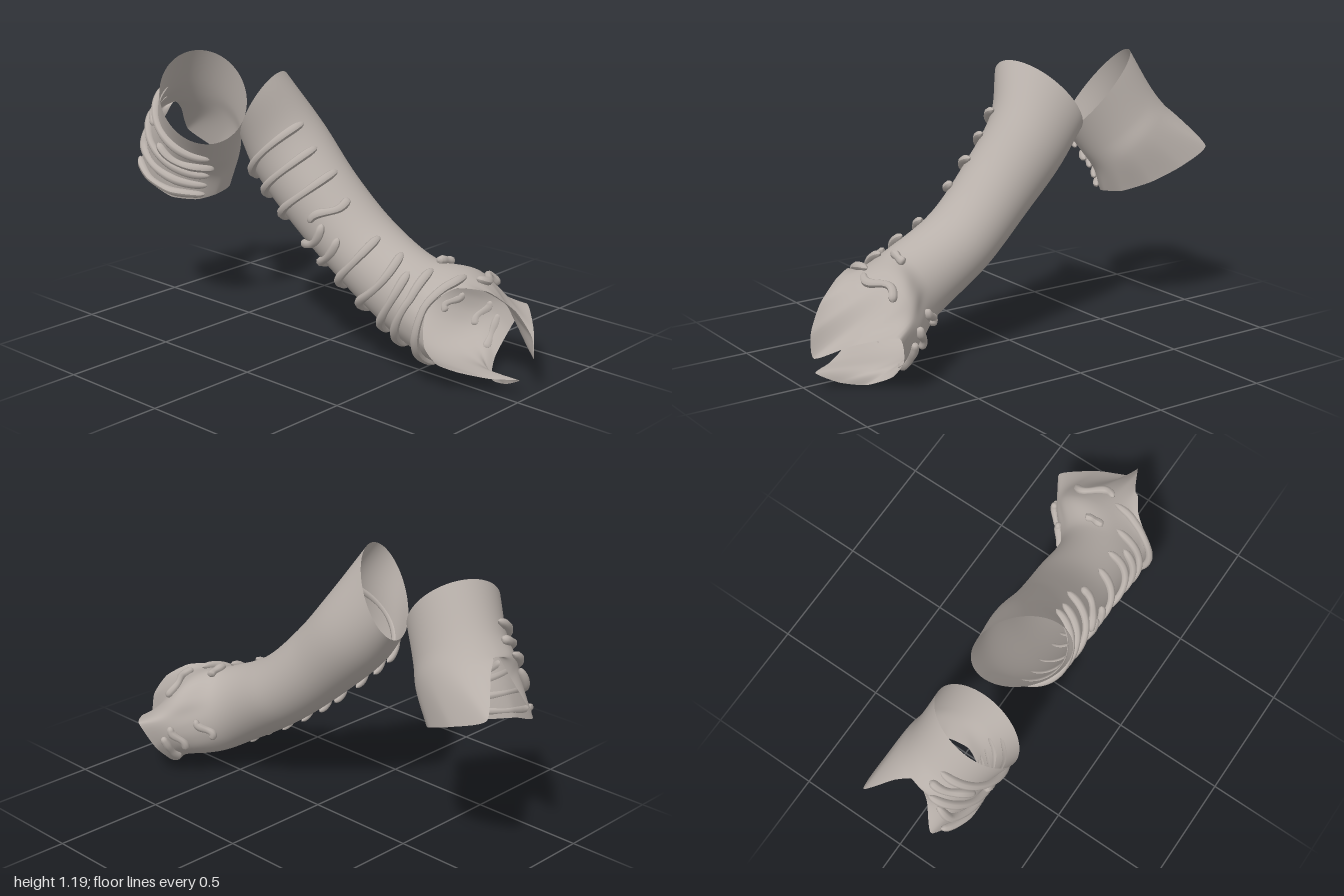
import * as THREE from 'three';

const TURN = Math.PI * 2;

// Closed elliptical ring: centre, half length and lean in the xy plane, half depth, tilt of the depth axis, z slope
function ring([x, y, z], half, lean, depth, tilt = 0, slope = 0) {
  const a = THREE.MathUtils.degToRad(lean);
  const u = new THREE.Vector3(Math.cos(a) * half, Math.sin(a) * half, slope);
  const w = new THREE.Vector3(Math.sin(a) * tilt, -Math.cos(a) * tilt, depth);
  const c = new THREE.Vector3(x, y, z);
  const pts = [];
  for (let i = 0; i < 24; i++) {
    const t = (i / 24) * TURN;
    pts.push(c.clone().addScaledVector(u, Math.cos(t)).addScaledVector(w, Math.sin(t)));
  }
  return new THREE.CatmullRomCurve3(pts, true);
}

// Closed rim through points evenly spread around the sleeve, keeping its corners tight
const rim = (pts) =>
  new THREE.CatmullRomCurve3(pts.map((p) => new THREE.Vector3(...p)), true, 'catmullrom', 0.3);

// Lengthwise curve through all rings at one fraction of the way around
const columnAt = (rings, k) => new THREE.CatmullRomCurve3(rings.map((r) => r.getPoint(k)));

// Point on a sleeve: t counts rings along it, deg runs around it
function surfacePoint(rings, t, deg) {
  const k = THREE.MathUtils.euclideanModulo(deg / 360, 1);
  return columnAt(rings, k).getPoint(Math.min(1, t / (rings.length - 1)));
}

// Open shell lofted through the rings
function shell(rings, around = 108, along = 60) {
  const pos = [], idx = [];
  for (let i = 0; i < around; i++) {
    const column = columnAt(rings, i / around);
    for (let j = 0; j <= along; j++) pos.push(...column.getPoint(j / along).toArray());
  }
  for (let i = 0; i < around; i++) {
    for (let j = 0; j < along; j++) {
      const a = i * (along + 1) + j, b = ((i + 1) % around) * (along + 1) + j;
      idx.push(a, b, a + 1, b, b + 1, a + 1);
    }
  }
  const g = new THREE.BufferGeometry();
  g.setAttribute('position', new THREE.Float32BufferAttribute(pos, 3));
  g.setIndex(idx);
  g.computeVertexNormals();
  return g;
}

// Raised wavy fold around a sleeve at ring t, between two angles, tapering at its ends
function fold(rings, t, from, to, wave) {
  const pts = [];
  for (let i = 0; i <= 16; i++) {
    const s = i / 16, deg = from + (to - from) * s;
    const at = t + wave * Math.sin(s * TURN * 0.9);
    const p = surfacePoint(rings, at, deg);
    const out = p.clone().sub(surfacePoint(rings, at, deg + 180)).normalize();
    pts.push(p.addScaledVector(out, 0.011));
  }
  const curve = new THREE.CatmullRomCurve3(pts);
  const steps = 40, sides = 8;
  const g = new THREE.TubeGeometry(curve, steps, 0.018, sides, false);
  const pos = g.attributes.position, v = new THREE.Vector3();
  for (let i = 0; i <= steps; i++) {
    const s = i / steps, c = curve.getPointAt(s);
    const end = Math.min(1, Math.min(s, 1 - s) * 9);
    const f = Math.sqrt(end * (2 - end)) * (0.95 + 0.1 * Math.sin(s * 11));
    for (let j = 0; j <= sides; j++) {
      const n = i * (sides + 1) + j;
      v.fromBufferAttribute(pos, n).sub(c).multiplyScalar(f).add(c);
      pos.setXYZ(n, v.x, v.y, v.z);
    }
  }
  g.computeVertexNormals();
  return g;
}

function sleeve(name, rings, folds, material) {
  const group = new THREE.Group();
  group.name = name;
  const body = new THREE.Mesh(shell(rings), material);
  body.name = name + 'Shell';
  group.add(body);
  folds.forEach((f, i) => {
    const m = new THREE.Mesh(fold(rings, ...f), material);
    m.name = name + 'Fold' + (i + 1);
    group.add(m);
  });
  return group;
}

export function createModel() {
  const cloth = new THREE.MeshStandardMaterial({ color: 0xb8b0aa, side: THREE.DoubleSide });
  cloth.name = 'warmGreyCloth';

  // Cuff of the long sleeve, with a pointed flap above and below
  const cuffRim = rim([
    [0.94, 0.35, -0.05], [0.84, 0.42, 0], [0.74, 0.43, 0.08], [0.68, 0.37, 0.17], [0.68, 0.28, 0.2],
    [0.69, 0.2, 0.2], [0.72, 0.13, 0.16], [0.77, 0.09, 0.09], [0.87, 0.07, 0.02], [0.97, 0.07, -0.05],
    [0.88, 0.02, -0.08], [0.78, 0, -0.12], [0.72, 0.05, -0.22], [0.72, 0.14, -0.31],
    [0.77, 0.26, -0.36], [0.9, 0.22, -0.23], [1, 0.15, -0.1], [1, 0.25, -0.08],
  ]);

  // Long sleeve, from the upper opening down to the cuff; angle 0 is its top, 90 its front
  const longRings = [
    ring([-0.25, 1.015, 0.135], 0.208, 52, 0.165, 0.05, 0.06),
    ring([-0.145, 0.845, 0.09], 0.184, 47, 0.175, 0, 0.01),
    ring([0.025, 0.66, 0.07], 0.166, 46, 0.17),
    ring([0.235, 0.475, 0.04], 0.157, 53, 0.17),
    ring([0.485, 0.33, 0.02], 0.173, 68, 0.175),
    ring([0.64, 0.265, -0.045], 0.19, 78, 0.24),
    cuffRim,
  ];
  // Each fold: ring position, start angle, end angle, waviness
  const frontFolds = [
    [1.0, 12, 165, 0.03], [1.45, 15, 165, 0.04], [1.92, 8, 168, 0.05],
    [2.4, 20, 85, 0.07], [2.5, 70, 165, 0.1], [2.82, 65, 165, 0.07],
    [3.2, 22, 165, 0.05], [3.65, 18, 165, 0.12], [4.02, 35, 160, 0.08],
    [4.4, 15, 165, 0.06], [5.15, 5, 160, 0.1],
  ];
  const backFolds = [
    [5.2, 312, 360, -0.1], [4.25, 330, 356, 0.03], [4.3, 235, 268, -0.1],
    [4.9, 230, 268, -0.08], [5.4, 225, 262, 0.04],
  ];

  // Lower rim of the short sleeve, with an arched notch between two corners on its outer side
  const notchedRim = rim([
    [-0.59, 0.56, 0.1], [-0.63, 0.545, 0.18], [-0.72, 0.555, 0.25], [-0.85, 0.6, 0.26],
    [-0.98, 0.66, 0.2], [-0.91, 0.82, 0.14], [-0.88, 0.93, 0.08], [-0.92, 0.88, 0],
    [-1, 0.75, -0.11], [-0.84, 0.68, -0.13], [-0.7, 0.62, -0.09], [-0.61, 0.575, 0],
  ]);

  // Short sleeve, from the upper opening down; angle 0 is its inner side, 90 its front
  const shortRings = [
    ring([-0.59, 1.01, 0.165], 0.22, -51, 0.185, 0.07, 0.03),
    ring([-0.67, 0.87, 0.12], 0.208, -39, 0.18, 0.05, 0.01),
    ring([-0.725, 0.79, 0.095], 0.215, -37, 0.185, 0.06),
    notchedRim,
  ];
  const shortFolds = [
    [0.78, 168, 20, 0.04], [1.25, 172, 115, 0.06], [1.4, 95, 15, 0.1],
    [1.85, 165, 20, 0.05], [2.35, 145, 20, 0.05], [2.75, 118, 20, 0.06],
  ];

  const model = new THREE.Group();
  model.name = 'sleeves';
  model.add(sleeve('longSleeve', longRings, [...frontFolds, ...backFolds], cloth));
  model.add(sleeve('shortSleeve', shortRings, shortFolds, cloth));
  return model;
}
